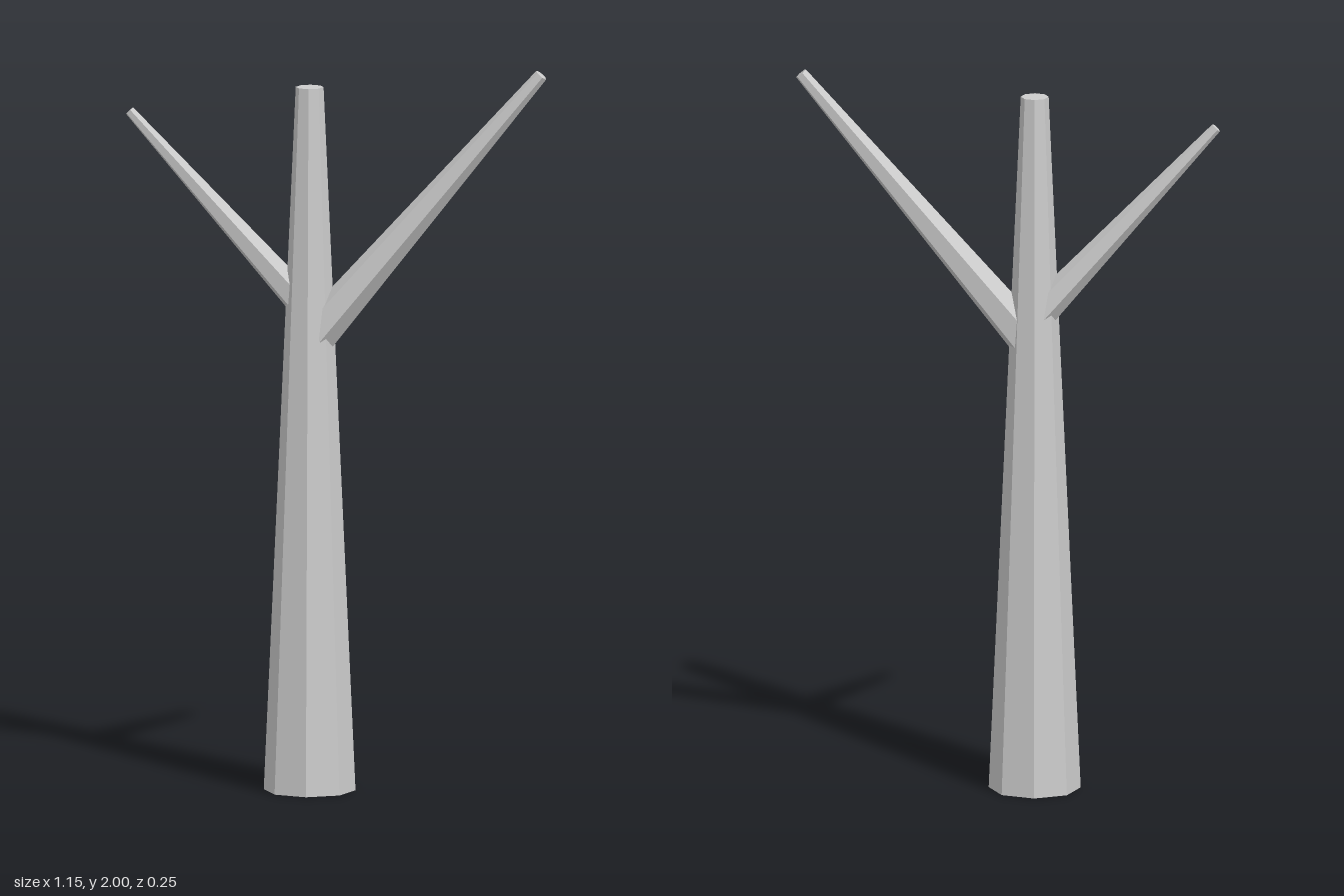
import * as THREE from 'three';

const material = new THREE.MeshStandardMaterial({ color: 0xcccccc, flatShading: true });

// Tapered faceted limb running from one point to another
function limb(name, from, to, baseRadius, tipRadius, sides, turn) {
  const start = new THREE.Vector3(...from);
  const end = new THREE.Vector3(...to);
  const axis = end.clone().sub(start);
  const geometry = new THREE.CylinderGeometry(tipRadius, baseRadius, axis.length(), sides, 1, false, turn);
  const mesh = new THREE.Mesh(geometry, material);
  mesh.name = name;
  mesh.position.copy(start).add(end).multiplyScalar(0.5);
  mesh.quaternion.setFromUnitVectors(new THREE.Vector3(0, 1, 0), axis.normalize());
  return mesh;
}

export function createModel() {
  const tree = new THREE.Group();
  tree.name = 'bareTree';
  tree.add(
    // Eight-sided trunk
    limb('trunk', [-0.075, 0, 0], [-0.075, 1.935, 0], 0.125, 0.038, 8, 0.2),
    // Six-sided branches, with an edge along the top and bottom
    limb('leftBranch', [-0.055, 1.257, 0], [0.558, 1.985, -0.075], 0.057, 0.018, 6, Math.PI / 2),
    limb('rightBranch', [-0.09, 1.33, -0.01], [-0.565, 1.858, 0.066], 0.045, 0.014, 6, Math.PI / 2),
  );
  return tree;
}
